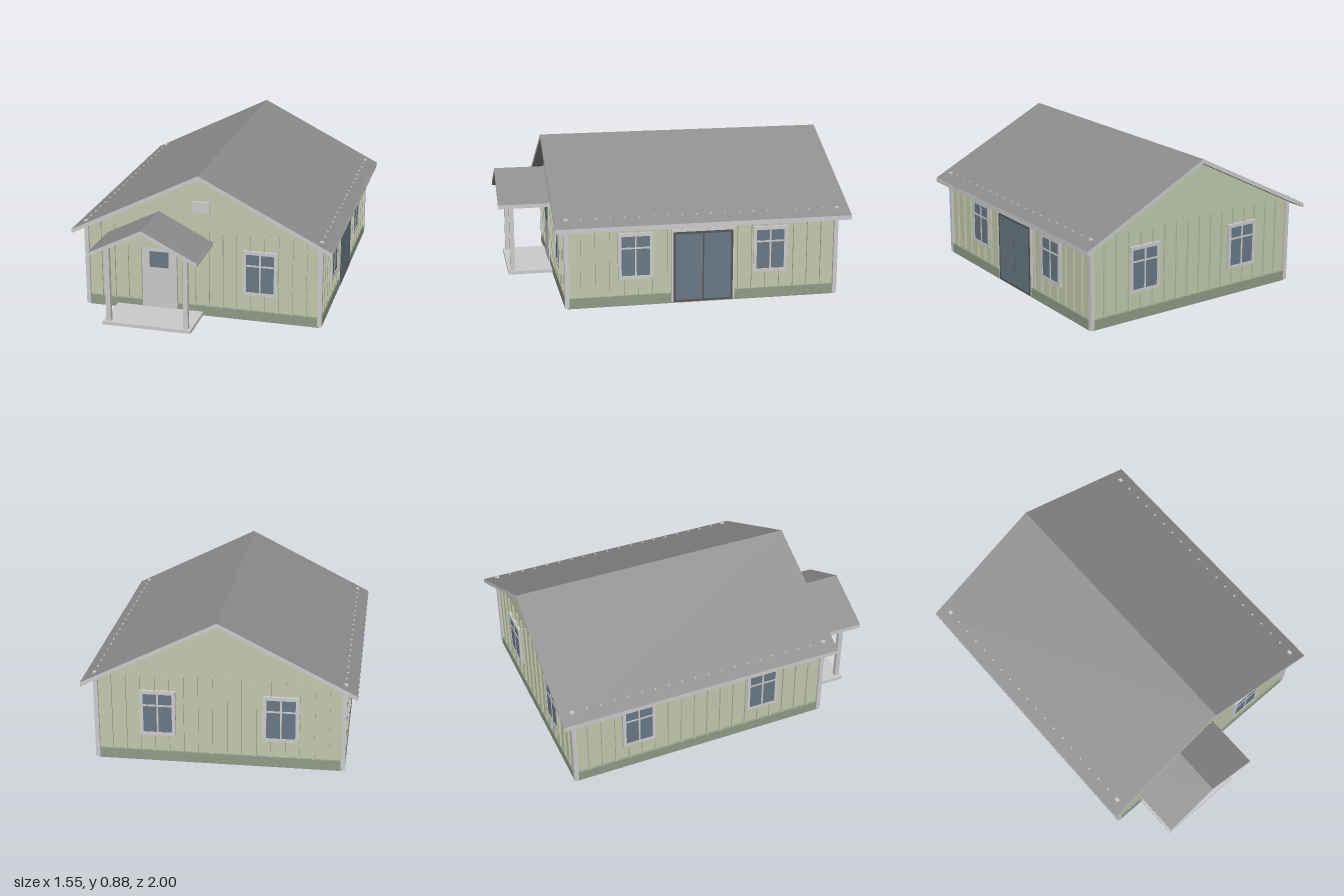
import * as THREE from 'three';

const mat = (color, side = THREE.FrontSide) => new THREE.MeshStandardMaterial({ color, side });
const trim = mat(0xcccccc);
const siding = mat(0xc2caac, THREE.DoubleSide);
const skirtMat = mat(0x919a86);
const roofMat = mat(0x8c8c8c);
const glassMat = mat(0x697985);
const darkFrame = mat(0x565656);

const HALF_W = 0.7, FRONT = 0.66, BACK = -0.925; // wall planes
const MID = (FRONT + BACK) / 2, LEN = FRONT - BACK;
const SLOPE = 0.503, WALL_TOP = 0.53;

// Box from its min and max corners
function box(parent, name, material, [x0, y0, z0], [x1, y1, z1]) {
  const m = new THREE.Mesh(new THREE.BoxGeometry(x1 - x0, y1 - y0, z1 - z0), material);
  m.position.set((x0 + x1) / 2, (y0 + y1) / 2, (z0 + z1) / 2);
  m.name = name;
  parent.add(m);
  return m;
}

function polygon(points) {
  return new THREE.Shape(points.map(([x, y]) => new THREE.Vector2(x, y)));
}

// Gabled roof slab with pale ends and eave boards
function gableRoof(name, cx, ridge, half, thick, z0, z1) {
  const g = new THREE.Group();
  g.name = name;
  const eave = ridge - half * SLOPE;
  const shape = polygon([
    [-half, eave - thick], [0, ridge - thick], [half, eave - thick],
    [half, eave], [0, ridge], [-half, eave],
  ]);
  const geo = new THREE.ExtrudeGeometry(shape, { depth: z1 - z0, bevelEnabled: false });
  const slab = new THREE.Mesh(geo, [trim, roofMat]);
  slab.name = name + 'Slab';
  slab.position.z = z0;
  g.add(slab);
  for (const s of [-1, 1]) {
    const x = s * half;
    box(g, 'eaveBoard', trim, [x - 0.001, eave - thick, z0], [x + 0.001, eave, z1]);
  }
  g.position.x = cx;
  return g;
}

// Four-light window facing +z, centred on its own x
function windowUnit() {
  const g = new THREE.Group();
  g.name = 'window';
  const w = 0.102, y0 = 0.16, y1 = 0.433, t = 0.02, d = 0.018;
  for (const s of [-1, 1]) {
    const a = s * w, b = s * (w - t);
    box(g, 'windowJamb', trim, [Math.min(a, b), y0, 0], [Math.max(a, b), y1, d]);
  }
  box(g, 'windowSill', trim, [-w + t, y0, 0], [w - t, y0 + t, d]);
  box(g, 'windowHead', trim, [-w + t, y1 - t, 0], [w - t, y1, d]);
  box(g, 'windowGlass', glassMat, [-w + t, y0 + t, 0], [w - t, y1 - t, 0.014]);
  box(g, 'verticalBar', trim, [-0.005, y0 + t, 0], [0.005, y1 - t, 0.017]);
  box(g, 'horizontalBar', trim, [-w + t, 0.339, 0], [w - t, 0.349, 0.017]);
  return g;
}

// Two-panel sliding door facing +z
function slidingDoor() {
  const g = new THREE.Group();
  g.name = 'slidingDoor';
  box(g, 'doorSurround', trim, [-0.187, 0.005, 0], [0.187, 0.44, 0.0135]);
  box(g, 'doorFrame', darkFrame, [-0.176, 0.005, 0], [0.176, 0.425, 0.016]);
  for (const s of [-1, 1]) {
    const x = s * 0.083;
    box(g, 'doorGlass', glassMat, [x - 0.079, 0.018, 0], [x + 0.079, 0.412, 0.018]);
  }
  return g;
}

// One wall face: battens and skirt in a frame facing +z
function cladding(length, count) {
  const g = new THREE.Group();
  g.name = 'cladding';
  const h = length / 2;
  for (let i = 1; i < count; i++) {
    const x = -h + (length * i) / count;
    box(g, 'batten', siding, [x - 0.005, 0.06, 0], [x + 0.005, WALL_TOP, 0.012]);
  }
  box(g, 'skirt', skirtMat, [-h, 0, 0], [h, 0.06, 0.013]);
  return g;
}

export function createModel() {
  const house = new THREE.Group();
  house.name = 'house';

  // Wall shell, open underneath
  const under = 0.855, side = under - HALF_W * SLOPE;
  const gable = new THREE.ShapeGeometry(polygon([
    [-HALF_W, 0], [HALF_W, 0], [HALF_W, side], [0, under], [-HALF_W, side],
  ]));
  for (const z of [FRONT, BACK]) {
    const wall = new THREE.Mesh(gable, siding);
    wall.name = z === FRONT ? 'frontWall' : 'backWall';
    wall.position.z = z;
    if (z === BACK) wall.rotation.y = Math.PI;
    house.add(wall);
  }
  for (const s of [-1, 1]) {
    const wall = new THREE.Mesh(new THREE.PlaneGeometry(LEN, side), siding);
    wall.name = s > 0 ? 'leftWall' : 'rightWall';
    wall.position.set(s * HALF_W, side / 2, MID);
    wall.rotation.y = (s * Math.PI) / 2;
    house.add(wall);
  }

  // Places a +z-facing part on a wall, at world x (front, back) or z (sides)
  const place = (part, wall, at) => {
    if (wall === 'front') part.position.set(at, 0, FRONT);
    if (wall === 'back') part.position.set(at, 0, BACK);
    if (wall === 'left') part.position.set(HALF_W, 0, at);
    if (wall === 'right') part.position.set(-HALF_W, 0, at);
    part.rotation.y = { front: 0, back: Math.PI, left: Math.PI / 2, right: -Math.PI / 2 }[wall];
    house.add(part);
  };
  place(cladding(2 * HALF_W, 17), 'front', 0);
  place(cladding(2 * HALF_W, 17), 'back', 0);
  place(cladding(LEN, 19), 'left', MID);
  place(cladding(LEN, 19), 'right', MID);

  // Windows and sliding door
  const openings = [
    ['front', 0.35], ['back', 0.35], ['back', -0.35],
    ['left', 0.265], ['left', -0.53], ['right', 0.265], ['right', -0.53],
  ];
  for (const [wall, at] of openings) place(windowUnit(), wall, at);
  place(slidingDoor(), 'left', -0.131);

  // Corner posts
  for (const s of [-1, 1]) {
    for (const z of [FRONT, BACK]) {
      const p = box(house, 'cornerPost', trim, [-0.0125, 0.005, -0.0125], [0.0125, WALL_TOP, 0.0125]);
      p.position.x = s * 0.7025;
      p.position.z = z + (z === FRONT ? 0.0025 : -0.0025);
    }
  }

  // Front door and gable vent
  box(house, 'frontDoor', trim, [-0.36, 0.025, FRONT - 0.008], [-0.148, 0.433, FRONT + 0.018]);
  box(house, 'frontDoorGlass', glassMat, [-0.312, 0.28, FRONT], [-0.197, 0.378, FRONT + 0.021]);
  box(house, 'gableVent', trim, [-0.053, 0.638, FRONT], [0.052, 0.705, FRONT + 0.018]);

  // Main roof
  house.add(gableRoof('mainRoof', 0, 0.88, 0.774, 0.026, -1, 0.73));

  // Porch
  const porch = new THREE.Group();
  porch.name = 'porch';
  const cx = -0.255;
  box(porch, 'porchSlab', trim, [-0.52, 0.004, FRONT], [0.01, 0.024, 0.945]);
  for (const s of [-1, 1]) {
    const x = cx + s * 0.232;
    box(porch, 'porchPost', trim, [x - 0.014, 0.024, 0.903], [x + 0.014, 0.49, 0.931]);
  }
  const infill = new THREE.Mesh(
    new THREE.ExtrudeGeometry(polygon([[-0.19, 0.505], [0.19, 0.505], [0, 0.602]]), { depth: 0.02, bevelEnabled: false }),
    siding);
  infill.name = 'porchGable';
  infill.position.set(cx, 0, 0.907);
  porch.add(infill);
  porch.add(gableRoof('porchRoof', cx, 0.625, 0.32, 0.024, 0.53, 1));
  house.add(porch);

  return house;
}
